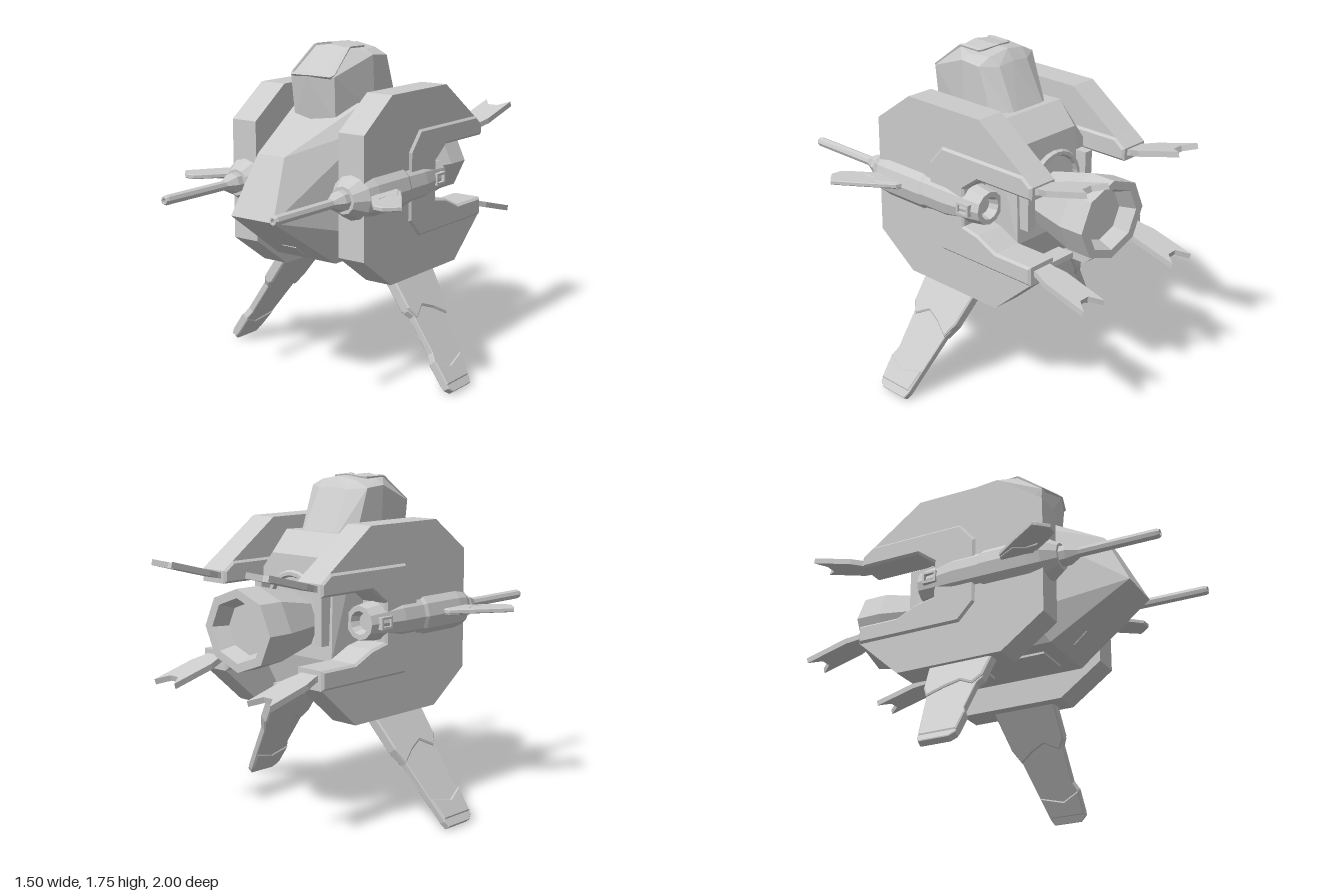
import * as THREE from 'three';
import { ConvexGeometry } from 'three/addons/geometries/ConvexGeometry.js';

const mat = new THREE.MeshStandardMaterial({ color: 0xcccccc, flatShading: true });

export function createModel() {
  const root = new THREE.Group();

  const add = (name, geo, x = 0, y = 0, z = 0, parent = root) => {
    const m = new THREE.Mesh(geo, mat);
    m.name = name;
    m.position.set(x, y, z);
    parent.add(m);
    return m;
  };
  const box = (name, w, h, d, x, y, z) => add(name, new THREE.BoxGeometry(w, h, d), x, y, z);
  const outline = (pts) => new THREE.Shape(pts.map((p) => new THREE.Vector2(p[0], p[1])));
  const extrude = (pts, depth, bevel = 0) => {
    const g = new THREE.ExtrudeGeometry(outline(pts), {
      depth: depth - 2 * bevel, bevelEnabled: bevel > 0, bevelSize: bevel,
      bevelThickness: bevel, bevelOffset: -bevel, bevelSegments: 1,
    });
    return g.translate(0, 0, bevel - depth / 2);
  };
  // outline given as (z, y), thickness along x
  const sideSlab = (pts, w, bevel) => extrude(pts, w, bevel).rotateY(-Math.PI / 2);
  // outline given as (x, z), thickness along y
  const flatSlab = (pts, h, bevel) => extrude(pts, h, bevel).rotateX(Math.PI / 2);
  // profile given as (radius, z), from back to front
  const turned = (pts, sides) => new THREE.LatheGeometry(
    pts.map((p) => new THREE.Vector2(p[0], p[1])), sides).rotateX(Math.PI / 2);
  // convex solid from the points of one half
  const hull = (pts) => new ConvexGeometry(
    pts.flatMap(([x, y, z]) => [new THREE.Vector3(x, y, z), new THREE.Vector3(-x, y, z)]));

  // Fuselage with wedge nose
  add('fuselage', hull([
    [0.135, 0.95, 0.75], [0.085, 1.245, 0.6],
    [0.19, 0.665, 0.33], [0.28, 0.82, 0.24], [0.28, 1.35, 0.15], [0.2, 1.46, 0.12],
    [0.2, 1.47, -0.29], [0.28, 1.36, -0.29],
    [0.18, 1.36, -0.41], [0.25, 1.28, -0.41], [0.26, 0.85, -0.43], [0.19, 0.665, -0.38],
  ]));

  // Cockpit
  add('cockpit', hull([
    [0, 1.37, 0.285], [0.13, 1.37, 0.25], [0.195, 1.4, 0], [0.195, 1.4, -0.2], [0.11, 1.4, -0.29],
    [0, 1.61, 0.32], [0.14, 1.605, 0.27], [0.195, 1.7, 0.02], [0.195, 1.69, -0.1],
    [0.11, 1.735, 0.11], [0, 1.75, 0.12], [0.15, 1.725, 0.02], [0.12, 1.725, -0.1],
    [0, 1.745, -0.11], [0.1, 1.68, -0.15], [0, 1.69, -0.15],
  ]));
  const half = [[0.13, 1.605, 0.275], [0.108, 1.738, 0.11], [0.105, 1.735, -0.02]];
  const loop = [[0, 1.613, 0.315], ...half, [0, 1.747, -0.04],
    ...half.map(([x, y, z]) => [-x, y, z]).reverse()].map((p) => new THREE.Vector3(...p));
  const framePath = new THREE.CurvePath();
  loop.forEach((p, i) => framePath.add(new THREE.LineCurve3(p, loop[(i + 1) % loop.length])));
  add('canopyFrame', new THREE.TubeGeometry(framePath, 64, 0.011, 4, true));

  // Belly details
  box('bellyPanel', 0.2, 0.02, 0.3, 0, 0.663, 0.1);
  box('bellyBar', 0.16, 0.02, 0.04, 0, 0.66, -0.15);
  box('bellySpine', 0.04, 0.02, 0.16, 0, 0.66, -0.24);
  box('rearLip', 0.2, 0.03, 0.14, 0, 0.685, -0.42);
  add('chinIntake', hull([[0.045, 0.755, 0.47], [0.03, 0.7, 0.39], [0.045, 0.765, 0.44], [0.03, 0.7, 0.36]]));

  // Main engine with recessed nozzle
  const engine = add('mainEngine', turned([
    [0, -0.74], [0.15, -0.74], [0.185, -0.82], [0.236, -0.82], [0.236, -0.68], [0.165, -0.43], [0, -0.39],
  ], 8), 0, 1.025, 0);
  engine.scale.y = 0.88;
  add('enginePipe', new THREE.TorusGeometry(0.17, 0.018, 6, 12, Math.PI), 0, 1.1, -0.44);

  // Side armour: C-shaped plate around the gun pod
  const notch = [[-0.67, 1.215], [-0.32, 1.215], [-0.22, 1.14], [-0.22, 0.94], [-0.32, 0.92],
    [-0.44, 0.865], [-0.67, 0.865]];
  const plate = [[0.405, 1.36], [0.17, 1.53], [-0.32, 1.53], [-0.67, 1.28], ...notch,
    [-0.67, 0.77], [-0.43, 0.555], [0.17, 0.555], [0.405, 0.725]];
  const trim = [[0.02, 1.22], [-0.07, 1.325], [-0.61, 1.325], [-0.67, 1.28], ...notch,
    [-0.67, 0.765], [-0.07, 0.765], [0.02, 0.86]];

  // Legs: (z, y) heights converted to lengths along the slanted limb
  const splay = 0.605, hipY = 0.55;
  const alongLeg = (pts) => pts.map(([z, y]) => [z, (y - hipY) / Math.cos(splay)]);
  const legShape = alongLeg([[0.1, 0.62], [0.1, 0.4], [0.08, 0.37], [0.08, 0.2], [0.1, 0.16], [0.1, 0.035],
    [0.07, 0.014], [-0.09, 0.014], [-0.105, 0.04], [-0.18, 0.32], [-0.22, 0.39], [-0.27, 0.6]]);
  const thighShape = alongLeg([[0.1, 0.62], [0.1, 0.41], [0.06, 0.36], [-0.02, 0.4], [-0.1, 0.37],
    [-0.18, 0.325], [-0.22, 0.39], [-0.27, 0.6]]);
  const shinShape = alongLeg([[0.1, 0.16], [0.1, 0.05], [-0.1, 0.05], [-0.13, 0.15], [0.0, 0.12]]);

  const wing = [[0.44, 0.18], [0.5, 0.2], [0.59, 0.32], [0.7, 0.48], [0.685, 0.5], [0.635, 0.55],
    [0.58, 0.545], [0.53, 0.49], [0.465, 0.4], [0.44, 0.38]];
  const wingRoot = [[0.44, 0.18], [0.49, 0.2], [0.55, 0.3], [0.52, 0.36], [0.53, 0.43], [0.44, 0.36]];
  const tail = [[0.058, 0.02], [0.058, -0.02], [0.078, -0.09], [0.078, -0.34], [0.03, -0.275], [-0.03, -0.275],
    [-0.078, -0.34], [-0.078, -0.09], [-0.058, -0.02], [-0.058, 0.02]];

  for (const s of [1, -1]) {
    const side = s > 0 ? 'left' : 'right';
    const px = 0.345 * s;
    add(side + 'ArmourPlate', sideSlab(plate, 0.156), px);
    add(side + 'ArmourTrim', sideSlab(trim, 0.18, 0.012), px);

    // Gun pod with recessed rear nozzle
    add(side + 'GunPod', turned([
      [0, -0.27], [0.045, -0.27], [0.06, -0.32], [0.087, -0.32], [0.12, -0.1], [0.12, 0.05], [0.128, 0.07],
      [0.128, 0.33], [0.118, 0.4], [0.07, 0.475], [0, 0.475],
    ], 12), px, 1.043);
    add(side + 'GunBarrel', turned([
      [0.055, 0.46], [0.055, 0.51], [0.026, 0.57], [0.026, 0.985], [0.02, 1], [0.012, 1], [0.012, 0.96], [0, 0.96],
    ], 8), px, 1.043);
    for (const [dy, dz, h, d] of [[0.025, 0, 0.012, 0.08], [-0.025, 0, 0.012, 0.08],
      [0, 0.034, 0.05, 0.012], [0, -0.034, 0.05, 0.012]]) {
      box(side + 'PodHatchFrame', 0.03, h, d, 0.443 * s, 1.045 + dy, -0.235 + dz);
    }

    // Forward-swept fin on the pod
    const flip = (pts) => pts.map(([x, z]) => [x * s, z]);
    add(side + 'PodFin', flatSlab(flip(wing), 0.024, 0.004), 0, 1.053);
    add(side + 'PodFinRoot', flatSlab(flip(wingRoot), 0.036, 0.005), 0, 1.05);

    // Forked tail fins, upper and lower
    for (const up of [1, -1]) {
      add(side + (up > 0 ? 'Upper' : 'Lower') + 'TailFin',
        flatSlab(tail, 0.03).rotateX(up * 0.26), px, 1.04 + up * 0.215, -0.67);
    }

    // Splayed leg
    const leg = new THREE.Group();
    leg.name = side + 'Leg';
    leg.position.set(0.365 * s, hipY, 0);
    leg.rotation.z = s * splay;
    root.add(leg);
    add('legBlade', sideSlab(legShape, 0.038, 0.004), 0, 0, 0, leg);
    add('thighArmour', sideSlab(thighShape, 0.062, 0.008), 0, 0, 0, leg);
    add('footArmour', sideSlab(shinShape, 0.05, 0.006), 0, 0, 0, leg);

    // Rear hull brackets
    box(side + 'RearBracket', 0.05, 0.3, 0.08, 0.215 * s, 1.08, -0.44);
  }
  return root;
}
